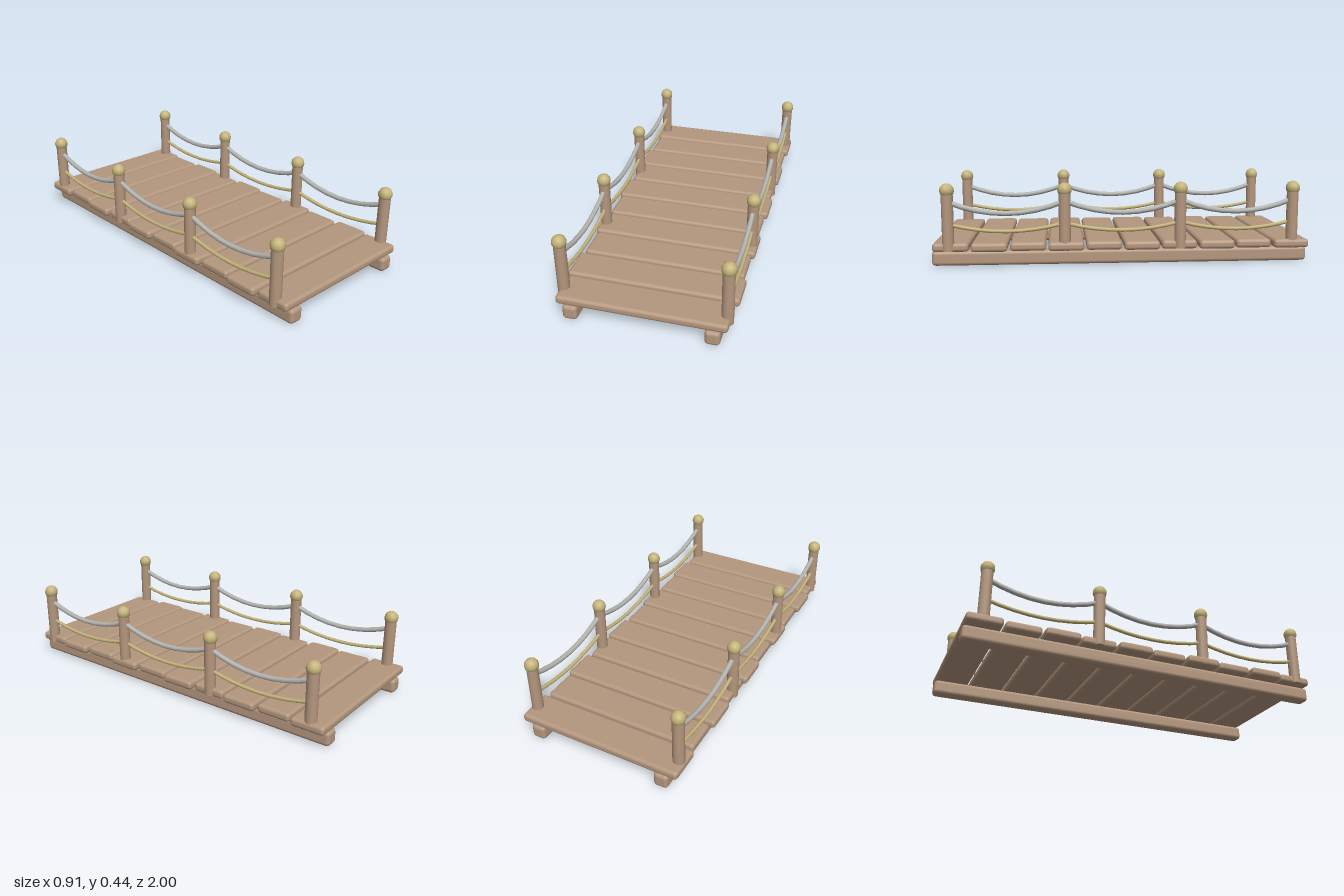
import * as THREE from 'three';
import { RoundedBoxGeometry } from 'three/addons/geometries/RoundedBoxGeometry.js';

const material = (name, color, flatShading = false) => {
  const m = new THREE.MeshStandardMaterial({ color, flatShading });
  m.name = name;
  return m;
};

export function createModel() {
  const wood = material('wood', 0xb4977e);
  const brass = material('brass', 0xc4b37a);
  const greyRope = material('grey rope', 0xb5b5b1);

  const bridge = new THREE.Group();
  bridge.name = 'ropeBridge';

  const add = (name, geometry, mat, x = 0, y = 0, z = 0) => {
    const mesh = new THREE.Mesh(geometry, mat);
    mesh.name = name;
    mesh.position.set(x, y, z);
    bridge.add(mesh);
  };

  // Deck planks, alternately narrow and wide
  for (let i = 0; i < 10; i++) {
    const width = i % 2 ? 0.87 : 0.903;
    add('plank', new RoundedBoxGeometry(width, 0.047, 0.188, 2, 0.018), wood, 0, 0.1035, -0.902 + i * 0.2);
  }

  const postZ = [-0.908, -0.305, 0.305, 0.908];
  const postX = 0.417;
  const beam = new RoundedBoxGeometry(0.078, 0.08, 2, 2, 0.02);
  const post = new THREE.CylinderGeometry(0.031, 0.031, 0.3, 12);
  const cap = new THREE.SphereGeometry(0.038, 12, 8);

  // Sagging rope between two neighbouring posts
  const rope = (name, x, z0, z1, y, sag, radius, mat) => {
    const points = [];
    for (let i = 0; i <= 8; i++) {
      const t = i / 8;
      points.push(new THREE.Vector3(x, y - sag * 4 * t * (1 - t), z0 + (z1 - z0) * t));
    }
    add(name, new THREE.TubeGeometry(new THREE.CatmullRomCurve3(points), 8, radius, 8), mat);
  };

  for (const side of [-1, 1]) {
    // Supporting beam under the deck
    add('beam', beam, wood, side * 0.361, 0.04, 0);

    // Posts with ball caps
    for (const z of postZ) {
      add('post', post, wood, side * postX, 0.235, z);
      add('postCap', cap, brass, side * postX, 0.4, z);
    }

    // Upper and lower ropes
    for (let i = 0; i < 3; i++) {
      rope('upperRope', side * postX, postZ[i], postZ[i + 1], 0.341, 0.063, 0.0135, greyRope);
      rope('lowerRope', side * postX, postZ[i], postZ[i + 1], 0.225, 0.041, 0.01, brass);
    }
  }
  return bridge;
}
